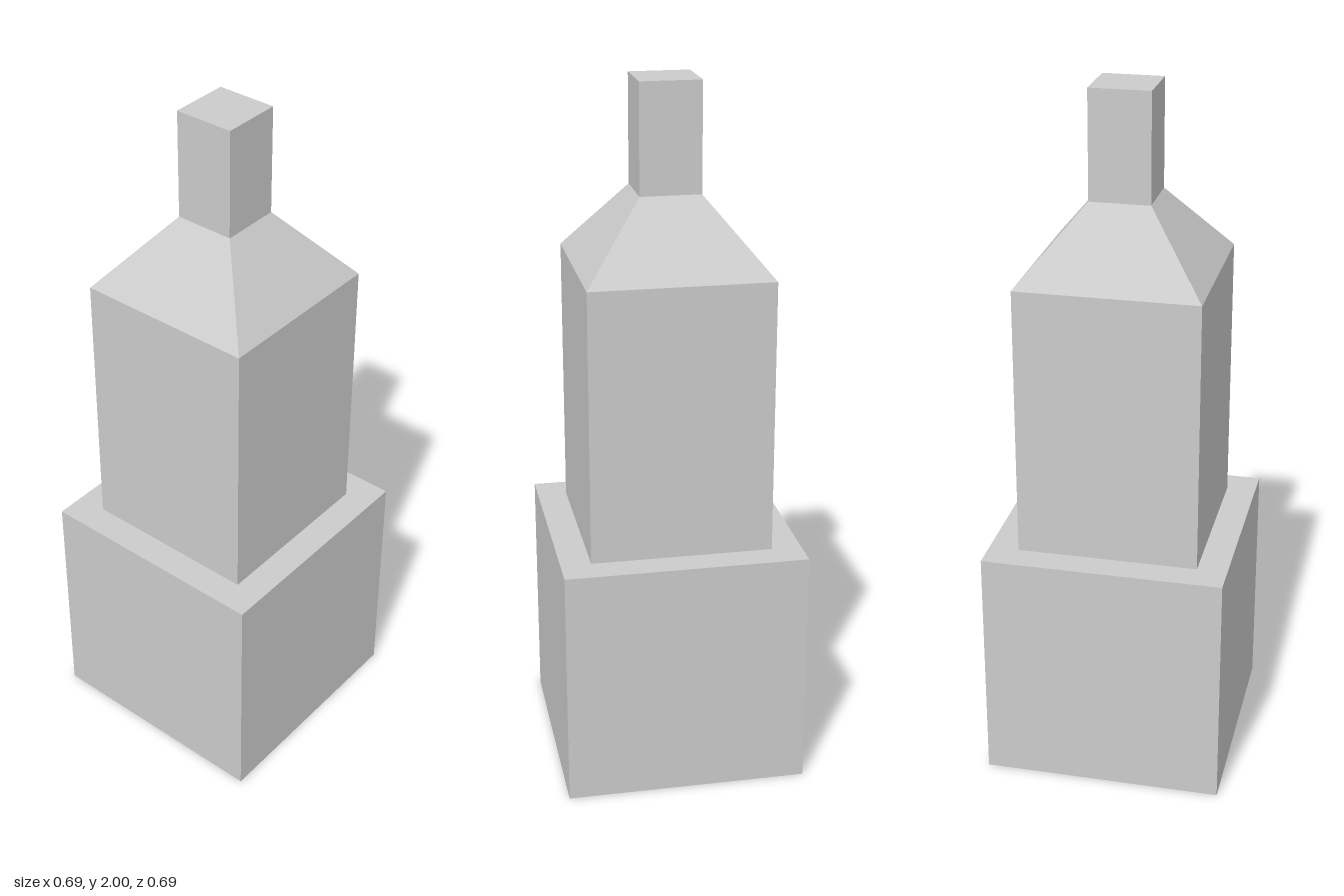
import * as THREE from 'three';

export function createModel() {
  const model = new THREE.Group();
  const material = new THREE.MeshStandardMaterial({ color: 0xcccccc, flatShading: true });

  // Square block between two heights; the top may be narrower than the bottom
  function block(name, y0, y1, bottom, top = bottom) {
    const geometry = new THREE.BoxGeometry(1, y1 - y0, 1);
    const p = geometry.attributes.position;
    for (let i = 0; i < p.count; i++) {
      const width = p.getY(i) > 0 ? top : bottom;
      p.setX(i, p.getX(i) * width);
      p.setZ(i, p.getZ(i) * width);
    }
    geometry.computeVertexNormals();
    const mesh = new THREE.Mesh(geometry, material);
    mesh.name = name;
    mesh.position.y = (y0 + y1) / 2;
    model.add(mesh);
  }

  block('base', 0, 0.697, 0.692);
  block('towerShaft', 0.697, 1.483, 0.519);
  block('slopedRoof', 1.483, 1.691, 0.519, 0.173);
  block('topPillar', 1.691, 2, 0.173);

  return model;
}
